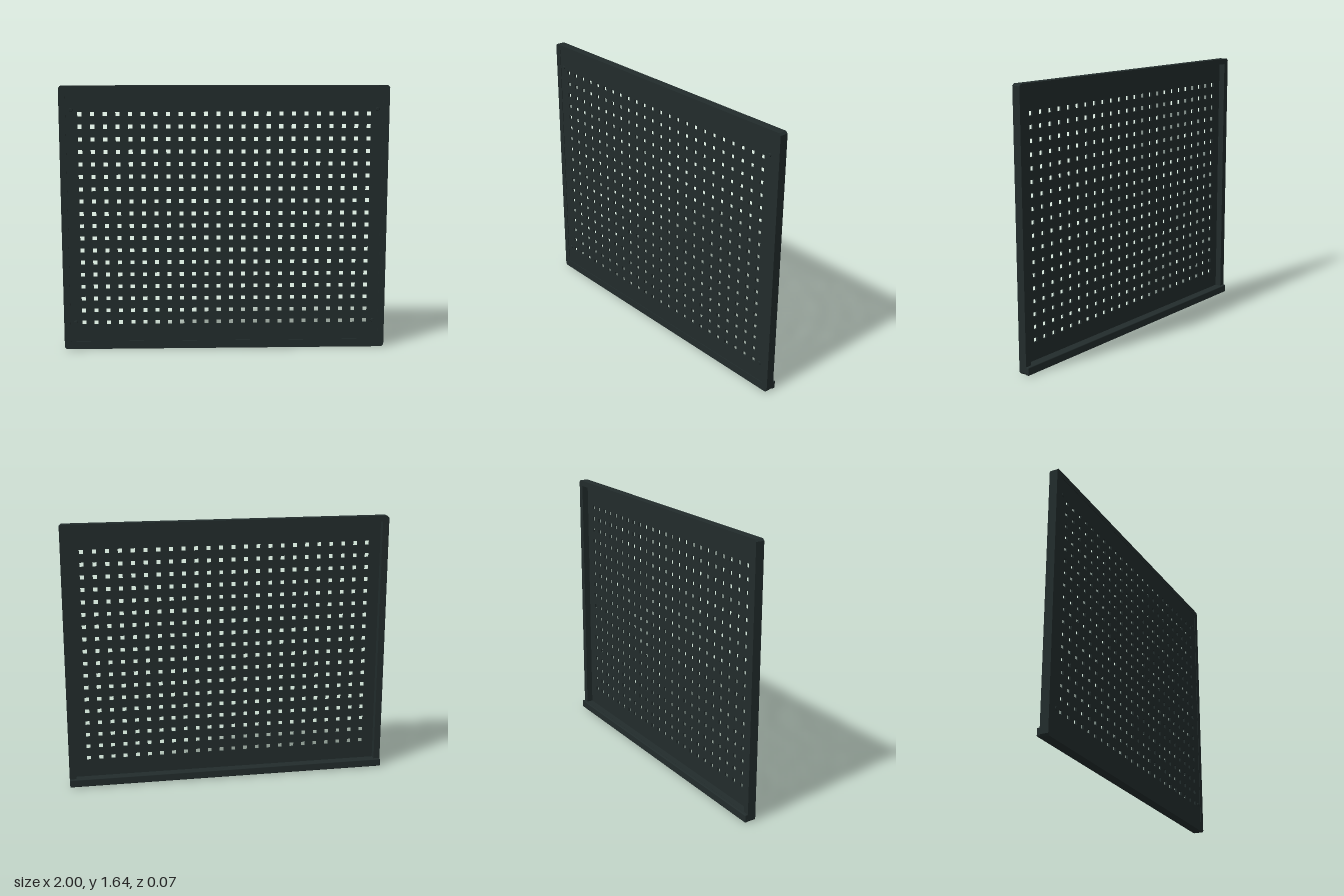
import * as THREE from 'three';
import { RoundedBoxGeometry } from 'three/addons/geometries/RoundedBoxGeometry.js';

const W = 2, H = 1.636;
const COLS = 24, ROWS = 18, PITCH = 0.0762, HOLE = 0.026, GRID_Y = 0.818;

// Closed rectangle centred on (cx, cy), added to a Shape or Path, with chamfered corners
function rect(path, cx, cy, w, h, c = 0) {
  const x = w / 2, y = h / 2;
  const pts = c
    ? [[-x + c, -y], [x - c, -y], [x, -y + c], [x, y - c], [x - c, y], [-x + c, y], [-x, y - c], [-x, -y + c]]
    : [[-x, -y], [x, -y], [x, y], [-x, y]];
  path.setFromPoints(pts.map(([a, b]) => new THREE.Vector2(cx + a, cy + b)));
  path.closePath();
  return path;
}

export function createModel() {
  const group = new THREE.Group();
  const metal = new THREE.MeshStandardMaterial({ color: 0x222c2c });
  metal.name = 'darkPaintedMetal';

  const add = (name, geometry, x = 0, y = 0, z = 0) => {
    const mesh = new THREE.Mesh(geometry, metal);
    mesh.name = name;
    mesh.position.set(x, y, z);
    group.add(mesh);
    return mesh;
  };
  const extrude = (shape, depth) =>
    new THREE.ExtrudeGeometry(shape, { depth, bevelEnabled: false });

  // Deep surrounding frame, open at the back
  const bottom = 0.05, top = H - 0.035;
  const midY = (bottom + top) / 2, innerH = top - bottom;
  const frame = rect(new THREE.Shape(), 0, H / 2, W, H, 0.012);
  frame.holes.push(rect(new THREE.Path(), 0, midY, 1.92, innerH));
  add('frame', extrude(frame, 0.052), 0, 0, -0.018);

  // Thin perforated sheet near the front of the frame
  const sheet = rect(new THREE.Shape(), 0, midY, 1.926, innerH + 0.006);
  for (let r = 0; r < ROWS; r++) {
    for (let c = 0; c < COLS; c++) {
      const x = (c - (COLS - 1) / 2) * PITCH;
      const y = GRID_Y + (r - (ROWS - 1) / 2) * PITCH;
      sheet.holes.push(rect(new THREE.Path(), x, y, HOLE, HOLE));
    }
  }
  add('perforatedSheet', extrude(sheet, 0.01), 0, 0, 0.021);

  // Ledge along the lower back edge
  add('rearLedge', new RoundedBoxGeometry(W, 0.048, 0.022, 2, 0.005), 0, 0.027, -0.025);

  // Screw heads in the four corners
  for (const x of [-0.927, 0.927]) {
    for (const y of [0.172, 1.492]) {
      const screw = add('screwHead', new THREE.CylinderGeometry(0.009, 0.012, 0.007, 16), x, y, 0.0335);
      screw.rotation.x = Math.PI / 2;
    }
  }
  return group;
}
